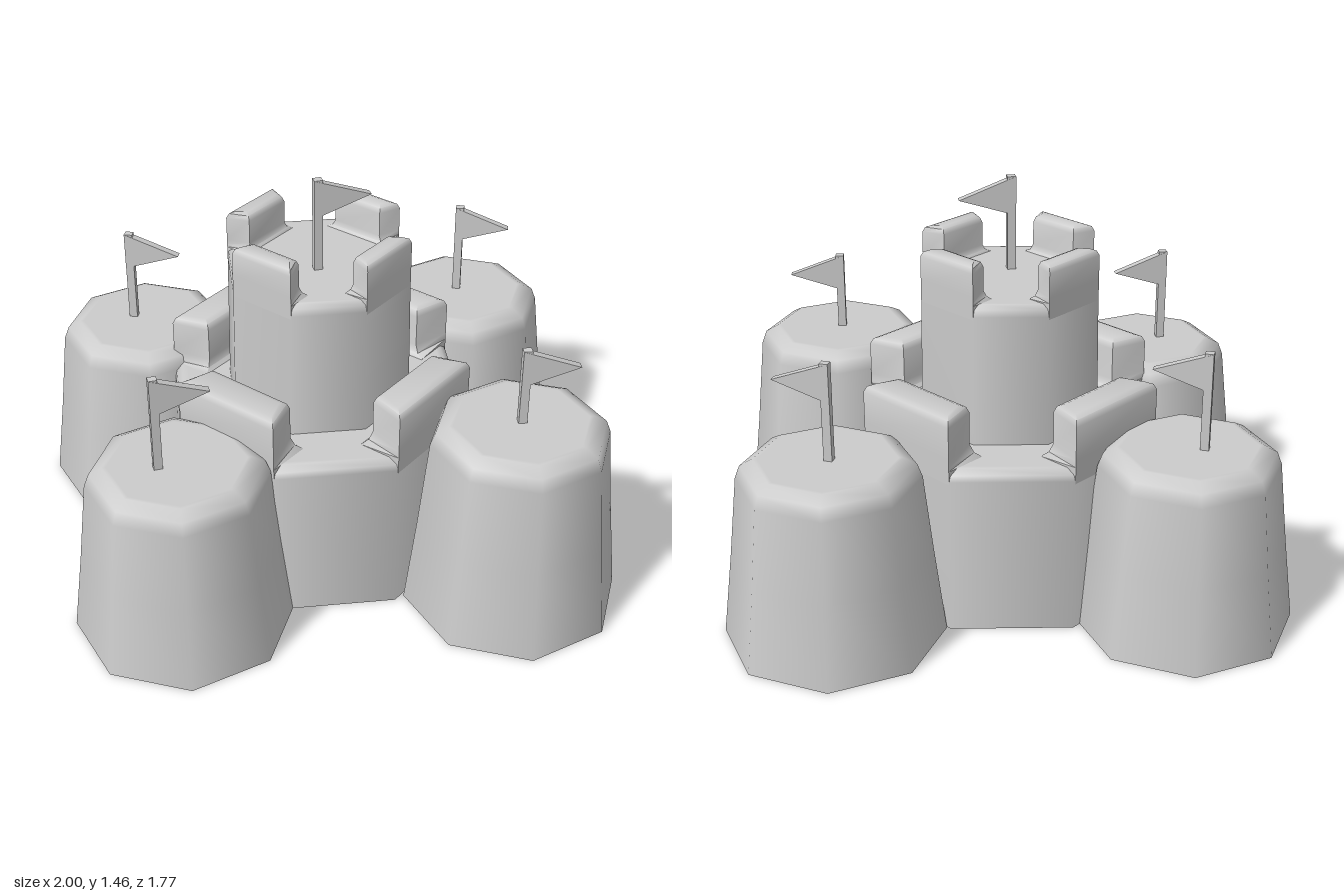
import * as THREE from 'three';
import { toCreasedNormals } from 'three/addons/utils/BufferGeometryUtils.js';

const mat = new THREE.MeshStandardMaterial({ color: 0xcccccc, side: THREE.DoubleSide });

function addMesh(parent, geometry, name) {
  const mesh = new THREE.Mesh(geometry, mat);
  mesh.name = name;
  parent.add(mesh);
  return mesh;
}

// eight-sided smooth body, open below; profile is [radius, y] from bottom to top
function octagon(profile, phiStart = 0) {
  return new THREE.LatheGeometry(profile.map(([r, y]) => new THREE.Vector2(r, y)), 8, phiStart);
}

// battlement block: stacked four-cornered sections with a flared foot and rounded top
function merlonGeometry({ outer, inner, outerHalf, innerHalf, floor, top, flare, round }) {
  // each row: y, growth of the inner side, inset of all sides
  const rows = [
    [floor - 0.05, flare, 0],
    [floor, flare, 0],
    [floor + flare * 0.3, flare * 0.35, 0],
    [floor + flare, 0, 0],
    [top - round, 0, 0],
    [top - round * 0.3, 0, round * 0.3],
    [top, 0, round],
  ];
  const pos = [];
  const index = [];
  for (const [y, grow, inset] of rows) {
    const zo = outer - inset, zi = inner + inset - grow * 0.5;
    const xo = outerHalf - inset, xi = innerHalf - inset * 0.7 + grow;
    pos.push(-xo, y, zo, xo, y, zo, xi, y, zi, -xi, y, zi);
  }
  for (let r = 0; r < rows.length - 1; r++) {
    for (let i = 0; i < 4; i++) {
      const a = r * 4 + i, b = r * 4 + (i + 1) % 4;
      index.push(a, b, b + 4, a, b + 4, a + 4);
    }
  }
  const t = (rows.length - 1) * 4;
  index.push(t, t + 1, t + 2, t, t + 2, t + 3);
  const g = new THREE.BufferGeometry();
  g.setAttribute('position', new THREE.Float32BufferAttribute(pos, 3));
  g.setIndex(index);
  return toCreasedNormals(g, 0.9);
}

// four merlons, one on each diagonal face
function addMerlons(parent, options, name) {
  const geometry = merlonGeometry(options);
  for (let i = 0; i < 4; i++) {
    addMesh(parent, geometry, name).rotation.y = Math.PI / 4 + i * Math.PI / 2;
  }
}

// square pole with a triangular pennant
function addFlag(parent, x, z, base, top, angle, name) {
  const flag = new THREE.Group();
  flag.name = name;
  flag.position.set(x, 0, z);
  flag.rotation.y = angle;
  const height = top - base + 0.03;
  addMesh(flag, new THREE.BoxGeometry(0.03, height, 0.026), 'pole').position.y = top - height / 2;
  const shape = new THREE.Shape();
  shape.moveTo(-0.015, top);
  shape.lineTo(-0.015, top - 0.14);
  shape.lineTo(0.185, top - 0.075);
  shape.closePath();
  const pennant = new THREE.ExtrudeGeometry(shape, { depth: 0.028, bevelEnabled: false });
  addMesh(flag, pennant, 'pennant').position.z = -0.014;
  parent.add(flag);
}

export function createModel() {
  const model = new THREE.Group();
  model.name = 'sandcastle';

  // corner towers: x, z, height, flag x, flag z, flag angle
  const towers = [
    ['frontLeftTower', 0.615, 0.495, 0.73, 0.615, 0.495, 0],
    ['frontRightTower', -0.545, 0.495, 0.665, -0.61, 0.515, 0.17],
    ['backLeftTower', 0.595, -0.505, 0.665, 0.59, -0.515, -0.28],
    ['backRightTower', -0.615, -0.44, 0.665, -0.66, -0.46, -0.28],
  ];
  for (const [name, x, z, h, fx, fz, angle] of towers) {
    const tower = octagon([
      [0.384, 0], [0.345, h * 0.46], [0.312, h - 0.07],
      [0.295, h - 0.025], [0.25, h], [0.235, h], [0, h],
    ]);
    addMesh(model, tower, name).position.set(x, 0, z);
    addFlag(model, fx, fz, h, 1.015, angle, name + 'Flag');
  }

  // central keep in two stages
  const keep = new THREE.Group();
  keep.name = 'keep';
  keep.position.x = -0.015;
  model.add(keep);
  const eighth = Math.PI / 8;
  addMesh(keep, octagon([
    [0.556, 0], [0.549, 0.57], [0.543, 0.592], [0.52, 0.61], [0.5, 0.61], [0, 0.61],
  ], eighth), 'lowerKeep');
  addMerlons(keep, {
    outer: 0.508, inner: 0.37, outerHalf: 0.209, innerHalf: 0.17,
    floor: 0.61, top: 0.8, flare: 0.04, round: 0.03,
  }, 'lowerMerlon');
  addMesh(keep, octagon([
    [0.335, 0.59], [0.328, 1.08], [0.324, 1.105], [0.308, 1.12], [0.295, 1.12], [0, 1.12],
  ], eighth), 'upperKeep');
  addMerlons(keep, {
    outer: 0.304, inner: 0.225, outerHalf: 0.125, innerHalf: 0.096,
    floor: 1.12, top: 1.257, flare: 0.028, round: 0.024,
  }, 'upperMerlon');

  addFlag(model, -0.023, 0.06, 1.12, 1.457, 0.17, 'keepFlag');
  return model;
}
